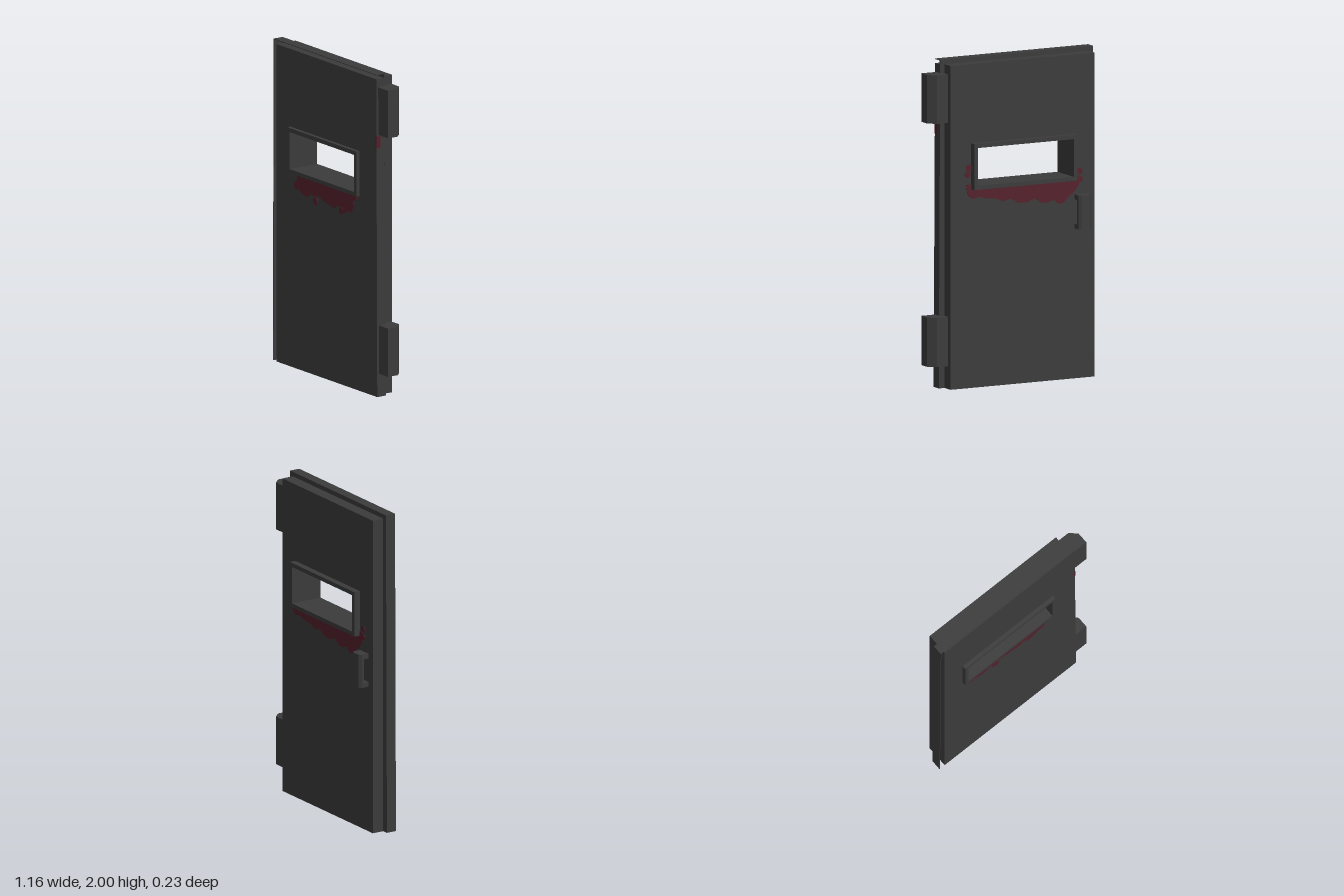
import * as THREE from 'three';

const steel = new THREE.MeshStandardMaterial({ color: 0x3b3b3b });
steel.name = 'dark steel';
const stain = new THREE.MeshStandardMaterial({ color: 0x54202b });
stain.name = 'dried red';

const toShape = (pts) => new THREE.Shape(pts.map(([x, y]) => new THREE.Vector2(x, y)));
const rectPts = (x0, y0, x1, y1) => [[x0, y0], [x1, y0], [x1, y1], [x0, y1]];

function addMesh(group, name, geometry, material = steel) {
  const mesh = new THREE.Mesh(geometry, material);
  mesh.name = name;
  group.add(mesh);
  return mesh;
}

// Plate with an outline in x and y, running from z0 to z1
function plate(group, name, pts, z0, z1, hole, material = steel) {
  const shape = toShape(pts);
  if (hole) shape.holes.push(new THREE.Path(toShape(hole).getPoints()));
  const geo = new THREE.ExtrudeGeometry(shape, { depth: z1 - z0, bevelEnabled: false });
  return addMesh(group, name, geo.translate(0, 0, z0), material);
}

// Upright prism with an outline in x and z, running from y0 to y1
function prism(group, name, pts, y0, y1) {
  const shape = toShape(pts.map(([x, z]) => [x, -z]));
  const geo = new THREE.ExtrudeGeometry(shape, { depth: y1 - y0, bevelEnabled: false });
  return addMesh(group, name, geo.rotateX(-Math.PI / 2).translate(0, y0, 0));
}

// Small round spots lying on a face: x, y, radius
function spots(group, name, list, z) {
  for (const [x, y, r] of list) {
    const geo = new THREE.CylinderGeometry(r, r, 0.004, 9).rotateX(Math.PI / 2);
    addMesh(group, name, geo.translate(x, y, z), stain);
  }
}

export function createModel() {
  const door = new THREE.Group();
  door.name = 'armoured door';
  const BACK = -0.053, MID = 0.022, FRONT = 0.087;
  const windowOuter = rectPts(-0.4, 1.21, 0.305, 1.49);
  const windowInner = rectPts(-0.375, 1.235, 0.28, 1.465);

  // Door leaf: inner slab, flange and front slab; the sides lean slightly
  plate(door, 'innerSlab', rectPts(-0.54, 0, 0.445, 1.972), BACK, MID, windowOuter);
  plate(door, 'flange', [[-0.58, 0], [0.485, 0], [0.475, 2], [-0.57, 2]], MID, MID + 0.008, windowOuter);
  plate(door, 'frontSlab', [[-0.54, 0], [0.485, 0], [0.475, 1.972], [-0.54, 1.972]],
    MID + 0.008, FRONT, windowOuter);

  // Thin lips that leave a groove along the free side and the top
  plate(door, 'sideLip', [[-0.58, 0], [-0.576, 0], [-0.566, 2], [-0.57, 2]], MID + 0.008, FRONT);
  plate(door, 'topLip', rectPts(-0.566, 1.996, 0.475, 2), MID + 0.008, FRONT);

  // Viewing slot frame
  plate(door, 'windowFrame', windowOuter, -0.093, 0.112, windowInner);

  // Hinges
  const hinge = [[0.455, 0.073], [0.577, 0.073], [0.577, 0.002], [0.533, -0.041], [0.455, -0.041]];
  prism(door, 'lowerHinge', hinge, 0.143, 0.443);
  prism(door, 'upperHinge', hinge, 1.625, 1.92);

  // Pull handle
  const handle = new THREE.Group();
  handle.name = 'handle';
  door.add(handle);
  const grip = (z) => [[-0.492, z], [-0.403, z], [-0.403, -0.1], [-0.42, -0.114], [-0.475, -0.114], [-0.492, -0.1]];
  prism(handle, 'handleLowerEnd', grip(BACK), 0.912, 0.942);
  prism(handle, 'handleGrip', grip(-0.083), 0.942, 1.09);
  prism(handle, 'handleUpperEnd', grip(BACK), 1.09, 1.12);

  // Stain below the slot, front
  plate(door, 'frontStain', [
    [-0.33, 1.21], [-0.33, 1.17], [-0.36, 1.145], [-0.355, 1.115], [-0.32, 1.125], [-0.27, 1.095],
    [-0.22, 1.09], [-0.2, 1.115], [-0.15, 1.11], [-0.1, 1.12], [-0.06, 1.1], [0, 1.09], [0.045, 1.08],
    [0.08, 1.1], [0.13, 1.105], [0.17, 1.085], [0.23, 1.095], [0.25, 1.14], [0.245, 1.17], [0.28, 1.18],
    [0.275, 1.21]], FRONT, FRONT + 0.003, null, stain);
  spots(door, 'frontStainSpot', [[-0.143, 1.08, 0.026], [0.12, 1.078, 0.024], [0.155, 1.09, 0.018],
    [-0.34, 1.13, 0.02]], FRONT + 0.001);

  // Stain around the slot, back
  plate(door, 'backStain', [
    [0.34, 1.24], [0.305, 1.24], [0.305, 1.21], [-0.4, 1.21], [-0.4, 1.24], [-0.435, 1.235], [-0.43, 1.18],
    [-0.4, 1.14], [-0.36, 1.11], [-0.33, 1.08], [-0.29, 1.07], [-0.26, 1.1], [-0.21, 1.085], [-0.17, 1.09],
    [-0.13, 1.12], [-0.08, 1.1], [-0.02, 1.1], [0.03, 1.13], [0.09, 1.12], [0.14, 1.14], [0.2, 1.145],
    [0.25, 1.16], [0.3, 1.15], [0.33, 1.18]], BACK - 0.003, BACK, null, stain);
  spots(door, 'backStainSpot', [[0.33, 1.3, 0.02], [0.32, 1.34, 0.022], [-0.435, 1.26, 0.02],
    [-0.44, 1.21, 0.018]], BACK - 0.001);

  // Splashes on the hinge edge and under the door
  addMesh(door, 'edgeStain', new THREE.BoxGeometry(0.009, 0.075, 0.03).translate(0.4745, 1.58, 0.0735), stain);
  addMesh(door, 'undersideStain', new THREE.BoxGeometry(0.09, 0.003, 0.03).translate(-0.08, 0.001, 0.02), stain)
    .position.y = -0.001;
  return door;
}
